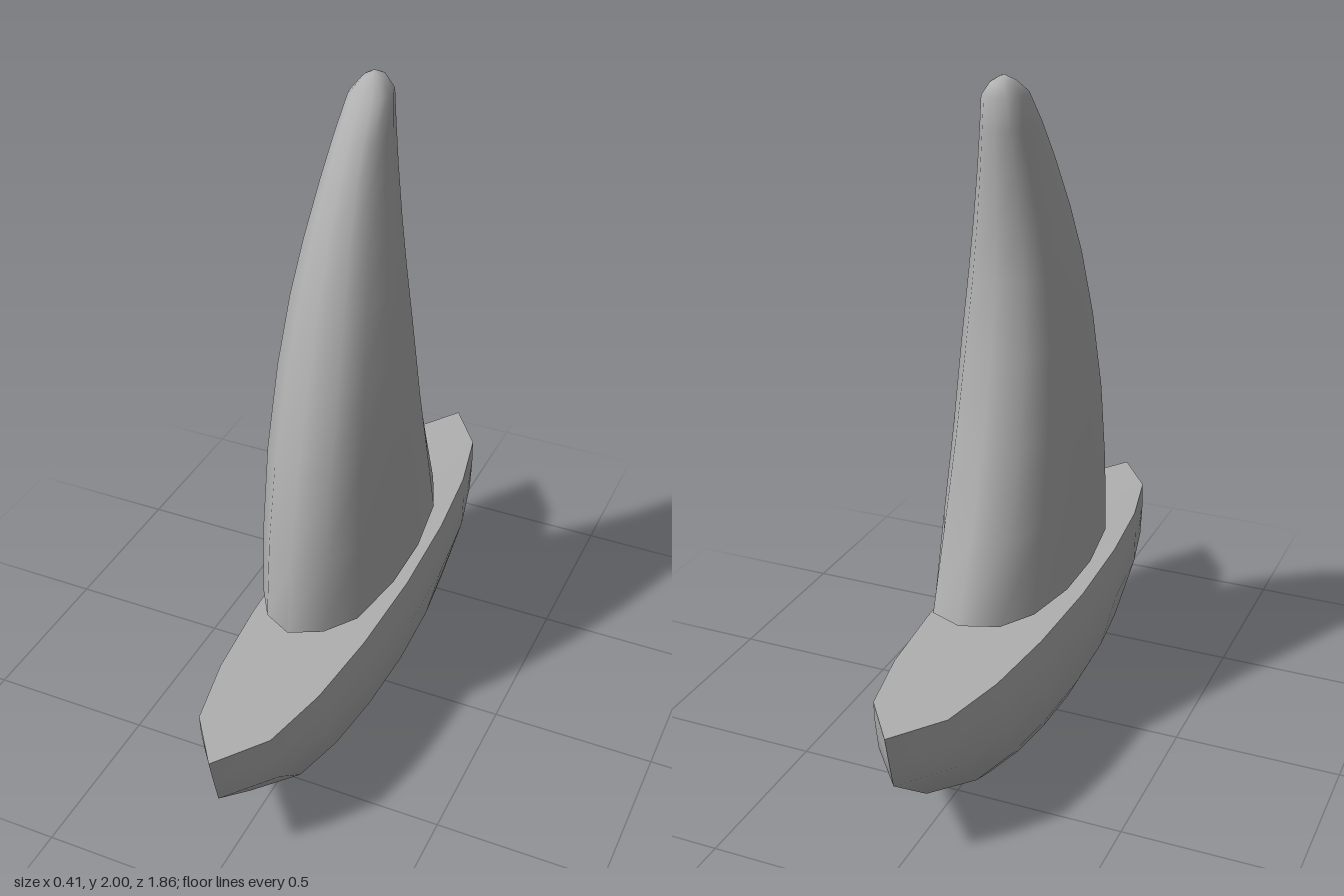
import * as THREE from 'three';
import { toCreasedNormals } from 'three/addons/utils/BufferGeometryUtils.js';

// Loft stacked level rings. plan: half outline [x, z] from front (z=1) to back (z=-1).
// level: [y, zFront, zBack, halfWidth, frontRise, backRise]
function loft(plan, levels, crease) {
  const outline = [...plan, ...plan.slice(1, -1).reverse().map(([x, z]) => [-x, z])];
  const n = outline.length, pos = [], idx = [];
  for (const [y, zf, zb, w, rf = 0, rb = 0] of levels) {
    for (const [px, pz] of outline) {
      const rise = (pz > 0 ? rf : rb) * pz * pz;
      pos.push(px * w, y + rise, (zf + zb) / 2 + pz * (zf - zb) / 2);
    }
  }
  for (let j = 0; j < levels.length - 1; j++) {
    for (let i = 0; i < n; i++) {
      const k = (i + 1) % n, a = j * n + i, b = j * n + k;
      idx.push(a, b, b + n, a, b + n, a + n);
    }
  }
  // end caps
  const last = levels.length - 1;
  for (const j of [0, last]) {
    const c = pos.length / 3, [y, zf, zb] = levels[j];
    pos.push(0, y, (zf + zb) / 2);
    for (let i = 0; i < n; i++) {
      const a = j * n + i, b = j * n + (i + 1) % n;
      if (j === last) idx.push(c, a, b);
      else idx.push(c, b, a);
    }
  }
  const g = new THREE.BufferGeometry();
  g.setAttribute('position', new THREE.Float32BufferAttribute(pos, 3));
  g.setIndex(idx);
  return toCreasedNormals(g, THREE.MathUtils.degToRad(crease));
}

export function createModel() {
  const group = new THREE.Group();
  const grey = new THREE.MeshStandardMaterial({ color: 0xb0b0b0 });
  grey.name = 'plain grey';
  const add = (name, geometry) => {
    const mesh = new THREE.Mesh(geometry, grey);
    mesh.name = name;
    group.add(mesh);
    return mesh;
  };

  // double-ended hull with a flat deck and rounded bilge
  add('hull', loft(
    [[0, 1], [0.58, 0.84], [0.82, 0.61], [0.95, 0.33], [1, 0],
      [0.95, -0.33], [0.82, -0.61], [0.58, -0.84], [0, -1]],
    [
      [0, 0.22, -0.22, 0.07],
      [0.01, 0.40, -0.40, 0.10],
      [0.06, 0.55, -0.55, 0.145],
      [0.12, 0.70, -0.70, 0.175],
      [0.27, 0.89, -0.89, 0.203],
      [0.36, 0.912, -0.912, 0.20],
      [0.43, 0.93, -0.93, 0.19, 0.01, 0.01],
    ], 50));

  // short mast between deck and sail
  add('mast', new THREE.CylinderGeometry(0.095, 0.095, 0.09, 16)).position.y = 0.46;

  // swept, tapering sail with a shallow ridge underneath
  add('sail', loft(
    [[0, 1], [0.5, 0.89], [0.85, 0.67], [1, 0.22],
      [1, -0.2], [0.86, -0.62], [0.57, -0.89], [0, -1]],
    [
      [0.475, 0.28, -0.30, 0.01],
      [0.495, 0.445, -0.475, 0.18, 0.02, 0.035],
      [0.75, 0.415, -0.39, 0.177],
      [1.0, 0.365, -0.305, 0.169],
      [1.25, 0.29, -0.242, 0.155],
      [1.45, 0.222, -0.208, 0.134],
      [1.6, 0.16, -0.20, 0.112],
      [1.75, 0.083, -0.202, 0.088],
      [1.86, 0.013, -0.205, 0.071],
      [1.95, -0.06, -0.207, 0.057],
      [1.985, -0.105, -0.19, 0.03],
      [2.0, -0.138, -0.158, 0.005],
    ], 65));

  return group;
}
